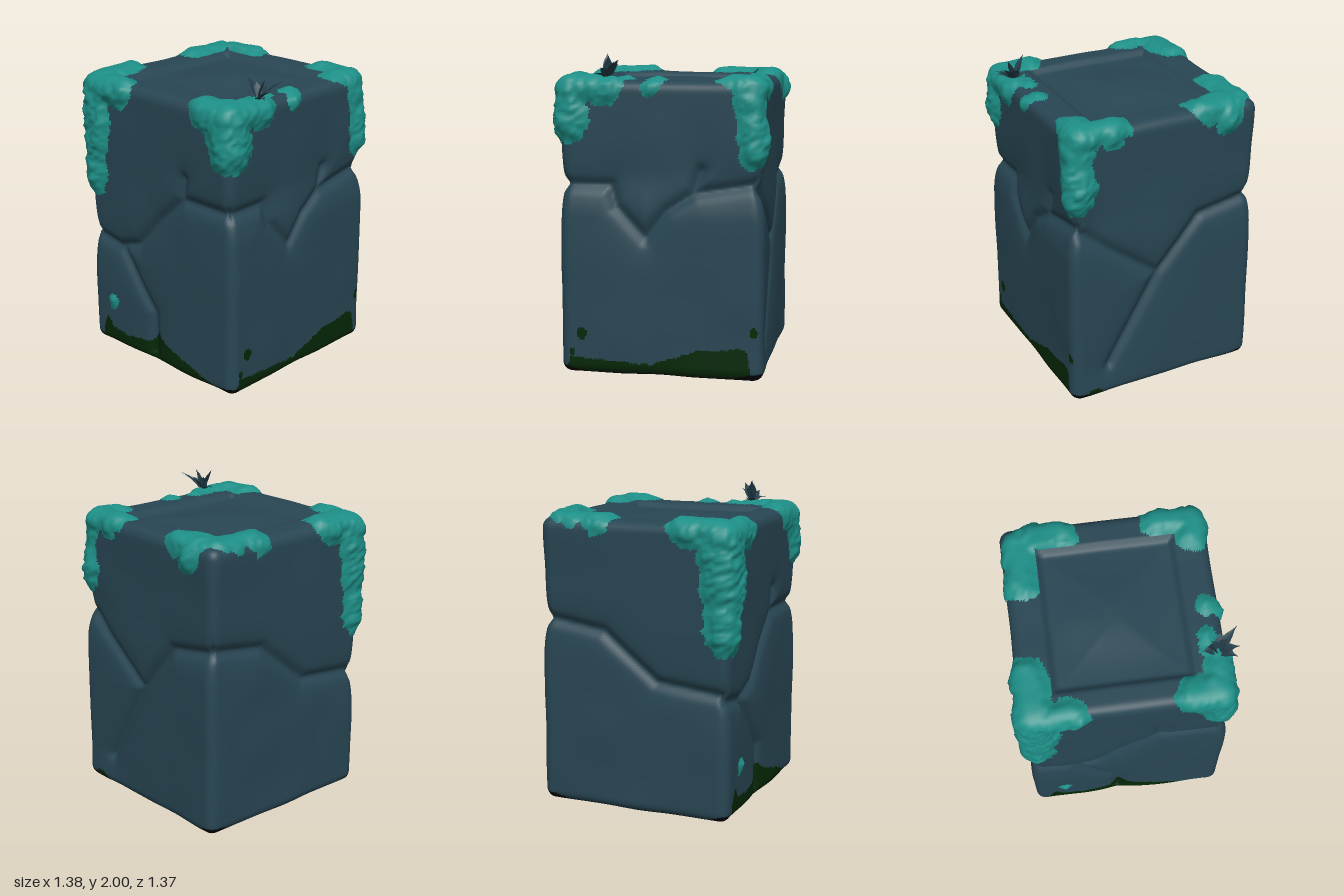
import * as THREE from 'three';
import { mergeVertices } from 'three/addons/utils/BufferGeometryUtils.js';

const { smoothstep, clamp, lerp } = THREE.MathUtils;
const V = (x, y, z) => new THREE.Vector3(x, y, z);
const HALF = V(0.643, 0.918, 0.64), MID = V(0, 0.925, -0.017), ROUND = 0.07;

// Value noise in -1..1
function hash(x, y, z) {
  const s = Math.sin(x * 127.1 + y * 311.7 + z * 74.7) * 43758.5453;
  return (s - Math.floor(s)) * 2 - 1;
}
function noise(p, f) {
  const q = p.clone().multiplyScalar(f), i = q.clone().floor();
  const [u, v, w] = q.sub(i).toArray().map((t) => t * t * (3 - 2 * t));
  const h = (a, b, c) => hash(i.x + a, i.y + b, i.z + c);
  const row = (b, c) => lerp(h(0, b, c), h(1, b, c), u);
  return lerp(lerp(row(0, 0), row(1, 0), v), lerp(row(0, 1), row(1, 1), v), w);
}

// Distance from a point to a line segment
function segDist(p, a, b) {
  const ab = b.clone().sub(a);
  const t = clamp(p.clone().sub(a).dot(ab) / (ab.lengthSq() || 1), 0, 1);
  return p.distanceTo(ab.multiplyScalar(t).add(a));
}

// Height along a polyline of [u, y] points, -1 outside it
function heightAt(line, u) {
  for (let i = 1; i < line.length; i++) {
    const [a, b] = [line[i - 1], line[i]];
    if (u >= a[0] && u <= b[0]) return lerp(a[1], b[1], (u - a[0]) / (b[0] - a[0]));
  }
  return -1;
}

// Each side: its normal, the cracks between the stones, and the algae line at the foot (u = x or z)
const SIDES = [
  { n: V(0, 0, 1), u: 'x',
    cracks: [[[-0.7, 0.8], [-0.38, 0.74], [-0.2, 0.8], [0, 1.02], [0.2, 1.2], [0.7, 1.2]],
      [[0.2, 1.2], [0.22, 1.34]], [[-0.36, 0.74], [-0.18, 0.5], [-0.07, 0.36], [-0.07, 0.08]]],
    algae: [[-0.56, 0.04], [-0.53, 0.16], [-0.5, 0.22], [-0.45, 0.14], [-0.3, 0.12], [-0.22, 0.135], [-0.1, 0.15],
      [-0.05, 0.24], [0, 0.2], [0.15, 0.14], [0.3, 0.11], [0.42, 0.06], [0.5, 0.04]], spots: [] },
  { n: V(1, 0, 0), u: 'z',
    cracks: [[[0.7, 1.2], [0.3, 1.2], [0.26, 1.07], [0.08, 0.88], [-0.05, 1.05], [-0.22, 1.16], [-0.7, 1.24]],
      [[-0.22, 1.16], [-0.27, 1.3]]],
    algae: [[-0.58, 0.04], [-0.56, 0.2], [-0.5, 0.22], [-0.4, 0.2], [-0.25, 0.19], [-0.1, 0.14], [0.05, 0.09],
      [0.2, 0.1], [0.4, 0.11], [0.55, 0.13], [0.58, 0.04]],
    spots: [[0.48, 0.27, 0.03], [-0.6, 0.32, 0.022], [0.54, 0.15, 0.018]] },
  { n: V(0, 0, -1), u: 'x',
    cracks: [[[-0.7, 1.22], [-0.25, 1.14], [0.04, 0.8], [0.38, 0.22]], [[0.04, 0.8], [0.55, 1.18], [0.7, 1.22]]],
    algae: [[0.42, 0.03], [0.46, 0.08], [0.52, 0.08], [0.56, 0.03]], spots: [] },
  { n: V(-1, 0, 0), u: 'z',
    cracks: [[[-0.7, 1.22], [-0.22, 1.15], [0.14, 0.86], [0.7, 0.8]]], algae: [], spots: [] },
];

function crackDepth(side, p) {
  const q = V(p[side.u], p.y, 0);
  let d = 9;
  for (const c of side.cracks)
    for (let i = 1; i < c.length; i++) d = Math.min(d, segDist(q, V(...c[i - 1], 0), V(...c[i], 0)));
  return 0.022 * Math.exp(-((d / 0.035) ** 2)) + 0.03 * Math.exp(-d / 0.09);
}

// Depth inside the sunken top panel, 0 outside
const panelInset = (p) => Math.max(0, Math.min(p.x + 0.44, 0.43 - p.x, p.z + 0.48, 0.46 - p.z));

// Rounded, cracked block; returns its geometry and outward directions
function stoneSurface() {
  let geo = new THREE.BoxGeometry(HALF.x * 2, HALF.y * 2, HALF.z * 2, 80, 116, 80);
  geo.deleteAttribute('uv');
  geo.deleteAttribute('normal');
  geo.clearGroups();
  geo = mergeVertices(geo, 1e-4);
  const pos = geo.attributes.position, dirs = [];
  const inner = HALF.clone().subScalar(ROUND);
  for (let i = 0; i < pos.count; i++) {
    const p = V(0, 0, 0).fromBufferAttribute(pos, i);
    const core = p.clone().clamp(inner.clone().negate(), inner);
    const dir = p.clone().sub(core).normalize();
    p.copy(core).addScaledVector(dir, ROUND).add(MID);
    let depth = 0.007 * noise(p, 4) + 0.004;
    for (const s of SIDES) depth += Math.max(0, dir.dot(s.n)) * crackDepth(s, p);
    if (dir.y > 0.5) {
      const e = panelInset(p);
      depth += 0.035 * smoothstep(e, 0, 0.04) - 0.03 * smoothstep(e, 0.03, 0.45);
    }
    p.addScaledVector(dir, -depth);
    // The upper stones sit slightly further in
    const upper = smoothstep(p.y, 1.0, 1.3);
    if (p.x > 0) p.x *= 1 - 0.04 * upper;
    if (p.z < 0) p.z *= 1 - 0.025 * upper;
    pos.setXYZ(i, p.x, p.y, p.z);
    dirs.push(dir);
  }
  return { geo, dirs };
}

// Sort triangles into lists by a rule on centre and mean direction
function sortTriangles(geo, dirs, count, rule) {
  const lists = Array.from({ length: count }, () => []);
  const ix = geo.index.array, pos = geo.attributes.position;
  for (let t = 0; t < ix.length; t += 3) {
    const c = V(0, 0, 0), d = V(0, 0, 0);
    for (let k = 0; k < 3; k++) {
      c.add(V(0, 0, 0).fromBufferAttribute(pos, ix[t + k]));
      d.add(dirs[ix[t + k]]);
    }
    const g = rule(c.divideScalar(3), d.normalize());
    if (g >= 0) lists[g].push(ix[t], ix[t + 1], ix[t + 2]);
  }
  return lists;
}

// 0 stone, 1 algae, 2 black underside
function stoneColour(c, d) {
  const corner = smoothstep(Math.min(Math.abs(c.x), Math.abs(c.z)), 0.42, 0.6);
  if (d.y < -0.8 || c.y < 0.018 + 0.04 * corner) return 2;
  const side = SIDES.reduce((a, b) => (d.dot(b.n) > d.dot(a.n) ? b : a));
  const u = c[side.u];
  if (c.y < heightAt(side.algae, u) + 0.008 * noise(c, 25)) return 1;
  return side.spots.some(([a, y, r]) => Math.hypot(u - a, (c.y - y) * 0.7) < r) ? 1 : 0;
}

// Moss patches as capsules: start, end, radius
const MOSS = [
  // front, -x corner
  [-0.56, 1.8, 0.55, -0.56, 1.45, 0.57, 0.155], [-0.57, 1.45, 0.57, -0.58, 1.19, 0.58, 0.13],
  [-0.55, 1.79, 0.6, -0.34, 1.8, 0.61, 0.125], [-0.55, 1.82, 0.55, -0.58, 1.82, 0.34, 0.13],
  // front, +x corner
  [0.53, 1.8, 0.53, 0.56, 1.58, 0.56, 0.13], [0.55, 1.8, 0.55, 0.39, 1.8, 0.56, 0.125],
  [0.55, 1.78, 0.55, 0.57, 1.8, 0.33, 0.12], [0.51, 1.83, 0.32, 0.51, 1.83, 0.2, 0.055],
  // back, +x corner
  [0.53, 1.8, -0.54, 0.57, 1.42, -0.59, 0.11], [0.52, 1.82, -0.56, 0.33, 1.82, -0.57, 0.11],
  [0.53, 1.82, -0.53, 0.52, 1.82, -0.46, 0.11],
  // back, -x corner
  [-0.47, 1.82, -0.53, -0.29, 1.81, -0.56, 0.12], [-0.53, 1.83, -0.5, -0.54, 1.82, -0.24, 0.11],
  [-0.46, 1.78, -0.58, -0.42, 1.75, -0.6, 0.1],
  // small tufts
  [0.53, 1.83, 0.01, 0.6, 1.8, 0.05, 0.06], [-0.43, 0.3, 0.61, -0.43, 0.35, 0.61, 0.034],
].map((m) => [V(m[0], m[1], m[2]), V(m[3], m[4], m[5]), m[6]]);

function mossMask(p) {
  if (p.y > 1.7 && panelInset(p) > 0.01) return -1;
  const m = Math.max(...MOSS.map(([a, b, r]) => r - segDist(p, a, b)));
  return m > -0.06 ? m + 0.022 * noise(p, 14) + 0.012 * noise(p, 35) : m;
}

// Lumpy moss shell laid over the block
function mossGeometry(base, dirs) {
  const [kept] = sortTriangles(base, dirs, 1, (c) => (mossMask(c) > 0 ? 0 : -1));
  const geo = new THREE.BufferGeometry();
  geo.setAttribute('position', base.attributes.position.clone());
  geo.setIndex(kept);
  const pos = geo.attributes.position;
  for (const i of new Set(kept)) {
    const p = V(0, 0, 0).fromBufferAttribute(pos, i), d = dirs[i];
    const side = 1 - smoothstep(d.y, 0.2, 0.9);
    const rough = 0.007 * noise(p, 12) + side * 0.014 * noise(p, 45);
    const t = smoothstep(mossMask(p), -0.01, 0.085);
    p.addScaledVector(d, 0.004 + t * (0.034 + 0.008 * side + rough));
    pos.setXYZ(i, p.x, p.y, p.z);
  }
  geo.computeVertexNormals();
  return geo;
}

// Folded, arching leaf from root to tip
function leafGeometry(root, tip, width) {
  const bend = root.clone().lerp(tip, 0.5).add(V(0, 0.03, 0));
  const curve = new THREE.QuadraticBezierCurve3(root, bend, tip);
  const across = tip.clone().sub(root).cross(V(0, 1, 0)).normalize();
  const pts = [], ix = [], N = 5;
  for (let i = 0; i <= N; i++) {
    const t = i / N, c = curve.getPoint(t), w = width * (0.15 + Math.sin(Math.PI * t ** 0.8)) * (1 - t * t);
    for (const s of [-1, 0, 1]) pts.push(...c.clone().addScaledVector(across, s * w).add(V(0, s ? w * 0.4 : 0, 0)).toArray());
    if (i < N) for (const k of [0, 1]) {
      const a = i * 3 + k;
      ix.push(a, a + 1, a + 3, a + 1, a + 4, a + 3);
    }
  }
  const geo = new THREE.BufferGeometry();
  geo.setAttribute('position', new THREE.Float32BufferAttribute(pts, 3));
  geo.setIndex(ix);
  geo.computeVertexNormals();
  return geo;
}

export function createModel() {
  const mat = (name, color, side = THREE.FrontSide) => Object.assign(new THREE.MeshStandardMaterial({ color, side }), { name });
  const stone = mat('slate stone', 0x284653), algae = mat('dark algae', 0x052706), black = mat('black underside', 0x020202);
  const moss = mat('teal moss', 0x1d8f87, THREE.DoubleSide), leafMat = mat('slate leaf', 0x25404d, THREE.DoubleSide);
  const group = new THREE.Group();
  group.name = 'mossyStoneBlock';
  const add = (parent, name, geo, material) => {
    const m = new THREE.Mesh(geo, material);
    m.name = name;
    parent.add(m);
  };

  // Stone block, coloured by groups of faces
  const { geo, dirs } = stoneSurface();
  const mossGeo = mossGeometry(geo, dirs);
  const lists = sortTriangles(geo, dirs, 3, stoneColour);
  geo.setIndex(lists.flat());
  geo.computeVertexNormals();
  let start = 0;
  lists.forEach((l, i) => { geo.addGroup(start, l.length, i); start += l.length; });
  add(group, 'stoneBlock', geo, [stone, algae, black]);
  add(group, 'moss', mossGeo, moss);

  // Small plant on the top edge
  const plant = new THREE.Group();
  plant.name = 'plant';
  const tips = [[0.485, 2, 0.34], [0.52, 1.95, 0.29], [0.61, 1.99, 0.3], [0.68, 1.97, 0.22], [0.685, 1.92, 0.33],
    [0.67, 1.88, 0.38], [0.46, 1.88, 0.32], [0.58, 1.94, 0.24]];
  tips.forEach((t, i) => add(plant, 'leaf' + (i + 1), leafGeometry(V(0.56, 1.84, 0.32), V(...t), 0.03), leafMat));
  group.add(plant);
  return group;
}
